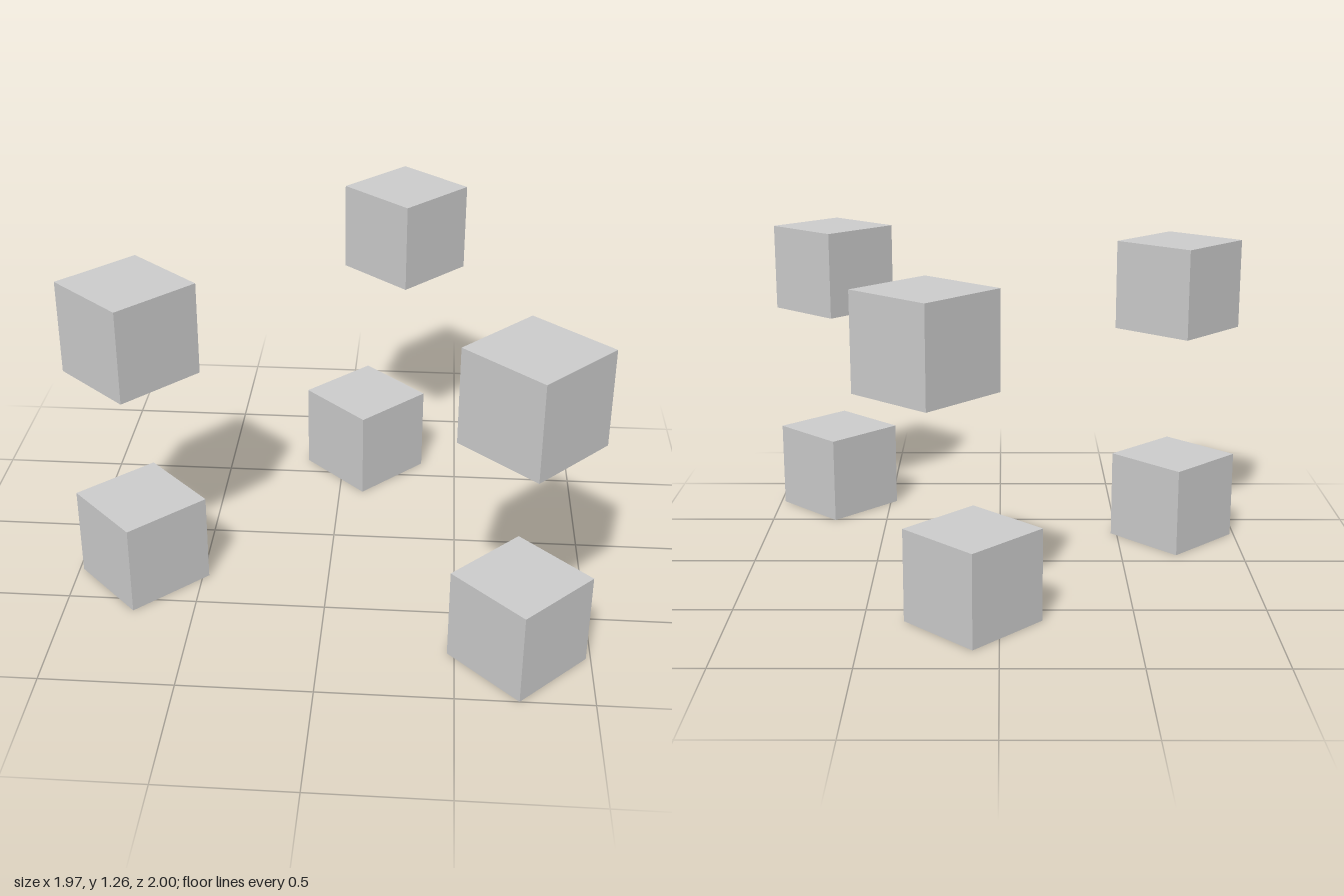
import * as THREE from 'three';

const SIDE = 0.36;
const LOWER = SIDE / 2;
const UPPER = 0.905 + SIDE / 2;

// name, centre x, y, z, turn about the vertical in degrees
const CUBES = [
  ['lowerLeftCube', 0.728, LOWER, 0.745, -44.4],
  ['lowerRightCube', -0.73, LOWER, 0.32, -45.8],
  ['lowerBackCube', 0.097, LOWER, -0.6, -44.4],
  ['upperLeftCube', 0.728, UPPER, 0.745, -42.7],
  ['upperRightCube', -0.73, UPPER, 0.32, -42.2],
  ['upperBackCube', 0.25, UPPER, -0.747, -42.2],
];

export function createModel() {
  const model = new THREE.Group();
  model.name = 'floatingCubes';

  const grey = new THREE.MeshStandardMaterial({ color: 0xcccccc });
  grey.name = 'light grey';
  const cube = new THREE.BoxGeometry(SIDE, SIDE, SIDE);

  // Two levels of three separate cubes, each turned corner-first
  for (const [name, x, y, z, turn] of CUBES) {
    const mesh = new THREE.Mesh(cube, grey);
    mesh.name = name;
    mesh.position.set(x, y, z);
    mesh.rotation.y = THREE.MathUtils.degToRad(turn);
    model.add(mesh);
  }
  return model;
}
